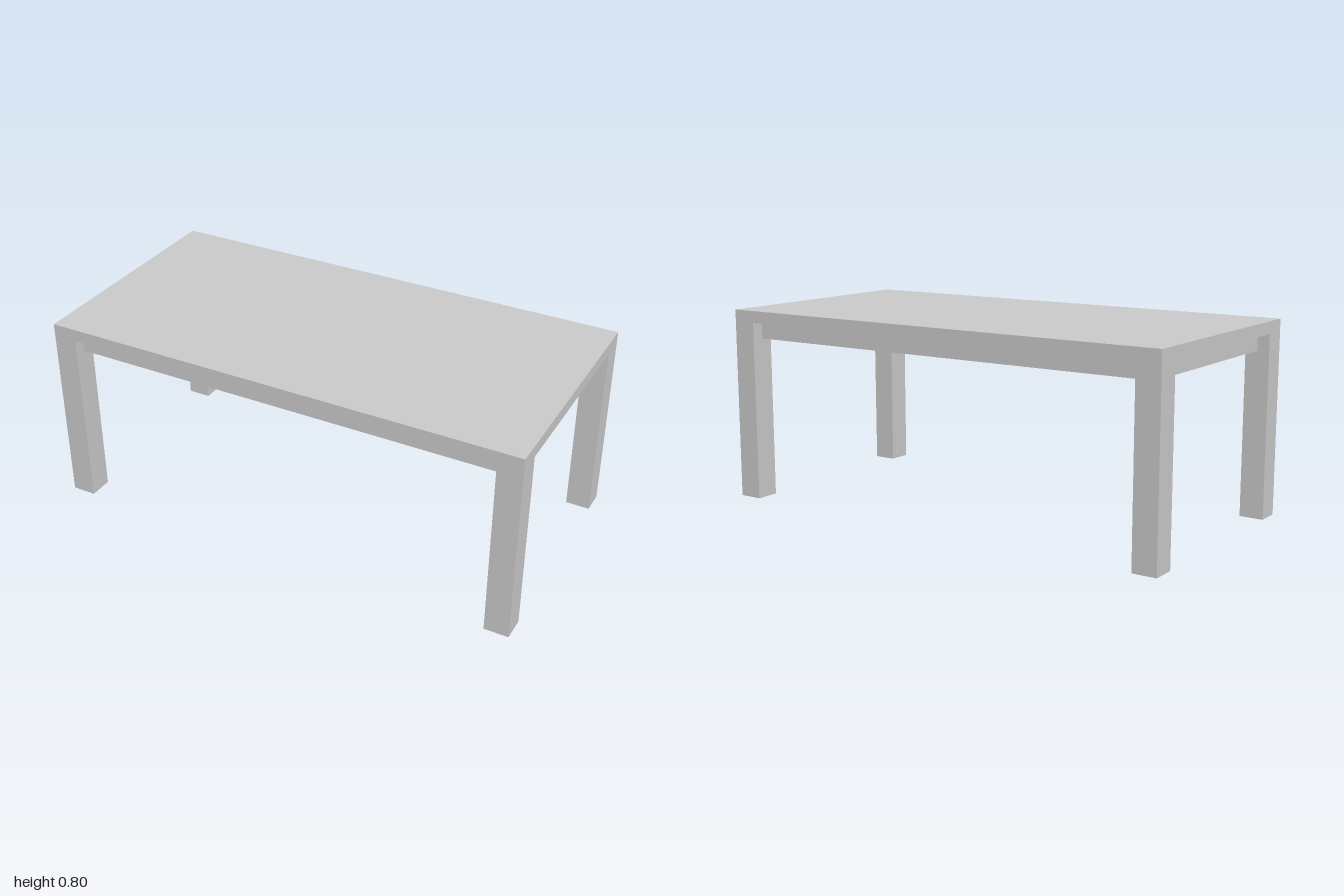
import * as THREE from 'three';

const LENGTH = 2, DEPTH = 1, HEIGHT = 0.8;
const TOP = 0.05, LEG = 0.1;
const APRON_H = 0.07, APRON_T = 0.05;

export function createModel() {
  const table = new THREE.Group();
  table.name = 'table';
  const material = new THREE.MeshStandardMaterial({ color: 0xcccccc, flatShading: true });

  const addBox = (name, w, h, d, x, y, z) => {
    const mesh = new THREE.Mesh(new THREE.BoxGeometry(w, h, d), material);
    mesh.name = name;
    mesh.position.set(x, y, z);
    table.add(mesh);
  };

  // Table top
  addBox('tableTop', LENGTH, TOP, DEPTH, 0, HEIGHT - TOP / 2, 0);

  // Square legs, flush with the corners of the top
  const legH = HEIGHT - TOP;
  for (const [side, sx] of [['Left', 1], ['Right', -1]]) {
    for (const [end, sz] of [['front', 1], ['back', -1]]) {
      addBox(`${end}${side}Leg`, LEG, legH, LEG,
        sx * (LENGTH - LEG) / 2, legH / 2, sz * (DEPTH - LEG) / 2);
    }
  }

  // Apron rails between the legs, flush with the legs' inner faces
  const apronY = legH - APRON_H / 2;
  const apronX = LENGTH / 2 - LEG + APRON_T / 2;
  const apronZ = DEPTH / 2 - LEG + APRON_T / 2;
  for (const s of [1, -1]) {
    addBox(s > 0 ? 'frontApron' : 'backApron',
      LENGTH - 2 * LEG, APRON_H, APRON_T, 0, apronY, s * apronZ);
    addBox(s > 0 ? 'leftApron' : 'rightApron',
      APRON_T, APRON_H, DEPTH - 2 * LEG, s * apronX, apronY, 0);
  }

  return table;
}
